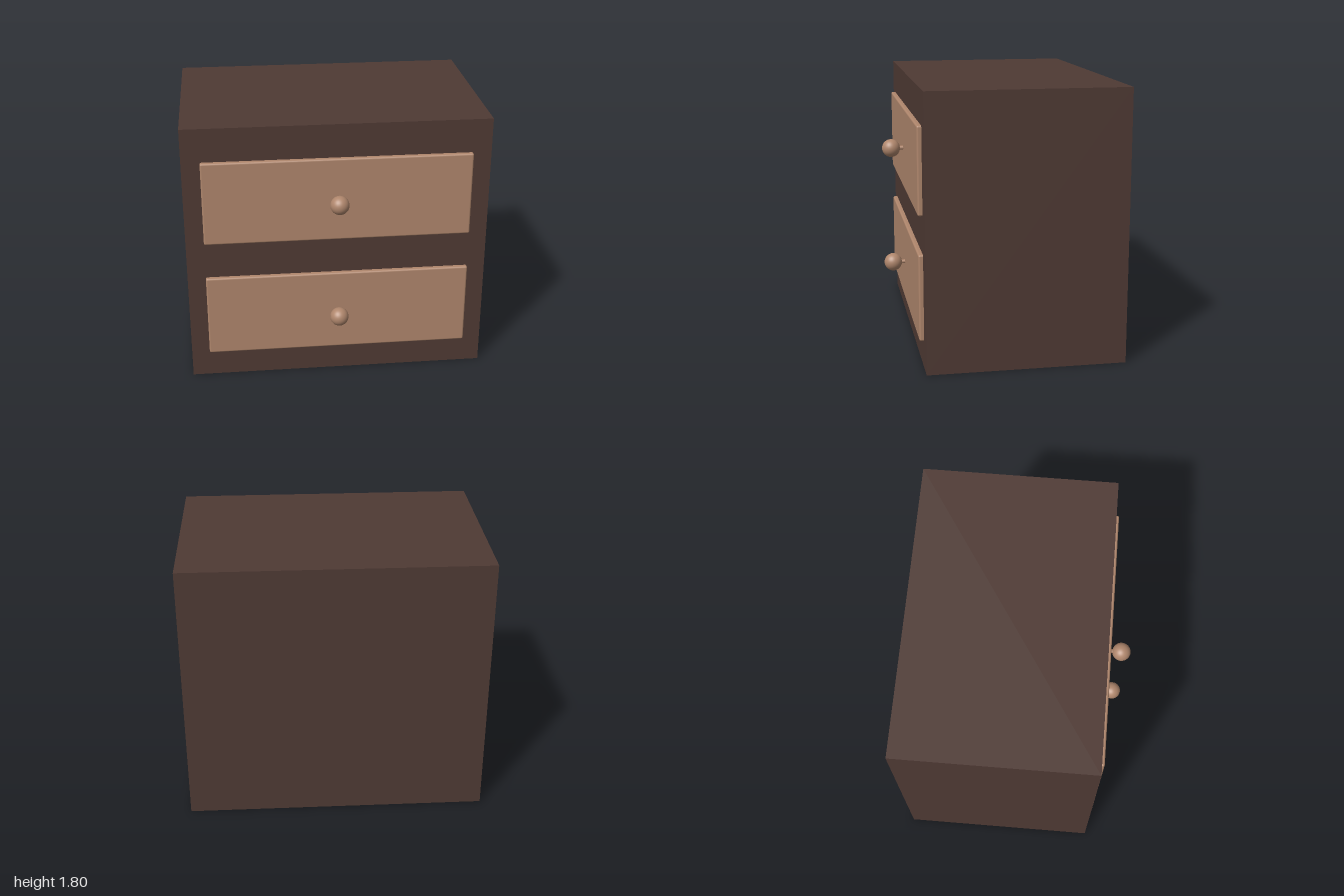
import * as THREE from 'three';
import { RoundedBoxGeometry } from 'three/addons/geometries/RoundedBoxGeometry.js';

export function createModel() {
  const model = new THREE.Group();
  model.name = 'nightstand';

  const darkWood = new THREE.MeshStandardMaterial({ color: 0x4f3a34 });
  darkWood.name = 'dark wood';
  const lightWood = new THREE.MeshStandardMaterial({ color: 0xaf866c });
  lightWood.name = 'light wood';

  const add = (parent, name, geometry, material, x, y, z) => {
    const mesh = new THREE.Mesh(geometry, material);
    mesh.name = name;
    mesh.position.set(x, y, z);
    parent.add(mesh);
    return mesh;
  };

  // Cabinet body
  const back = -0.74, front = 0.565, height = 1.8;
  add(model, 'cabinet', new THREE.BoxGeometry(2, height, front - back), darkWood,
    0, height / 2, (front + back) / 2);

  // Drawer fronts with softened edges, each with a round knob on a short stem
  const panel = new RoundedBoxGeometry(1.76, 0.57, 0.06, 3, 0.012);
  const stem = new THREE.CylinderGeometry(0.014, 0.014, 0.06, 20).rotateX(Math.PI / 2);
  const ball = new THREE.SphereGeometry(0.062, 32, 20);
  [['lowerDrawer', 0.47], ['upperDrawer', 1.29]].forEach(([name, y]) => {
    const drawer = new THREE.Group();
    drawer.name = name;
    drawer.position.y = y;
    add(drawer, 'drawerFront', panel, lightWood, 0, 0, front);
    add(drawer, 'knobStem', stem, lightWood, 0, 0, 0.61);
    add(drawer, 'knob', ball, lightWood, 0, 0, 0.679);
    model.add(drawer);
  });

  return model;
}
